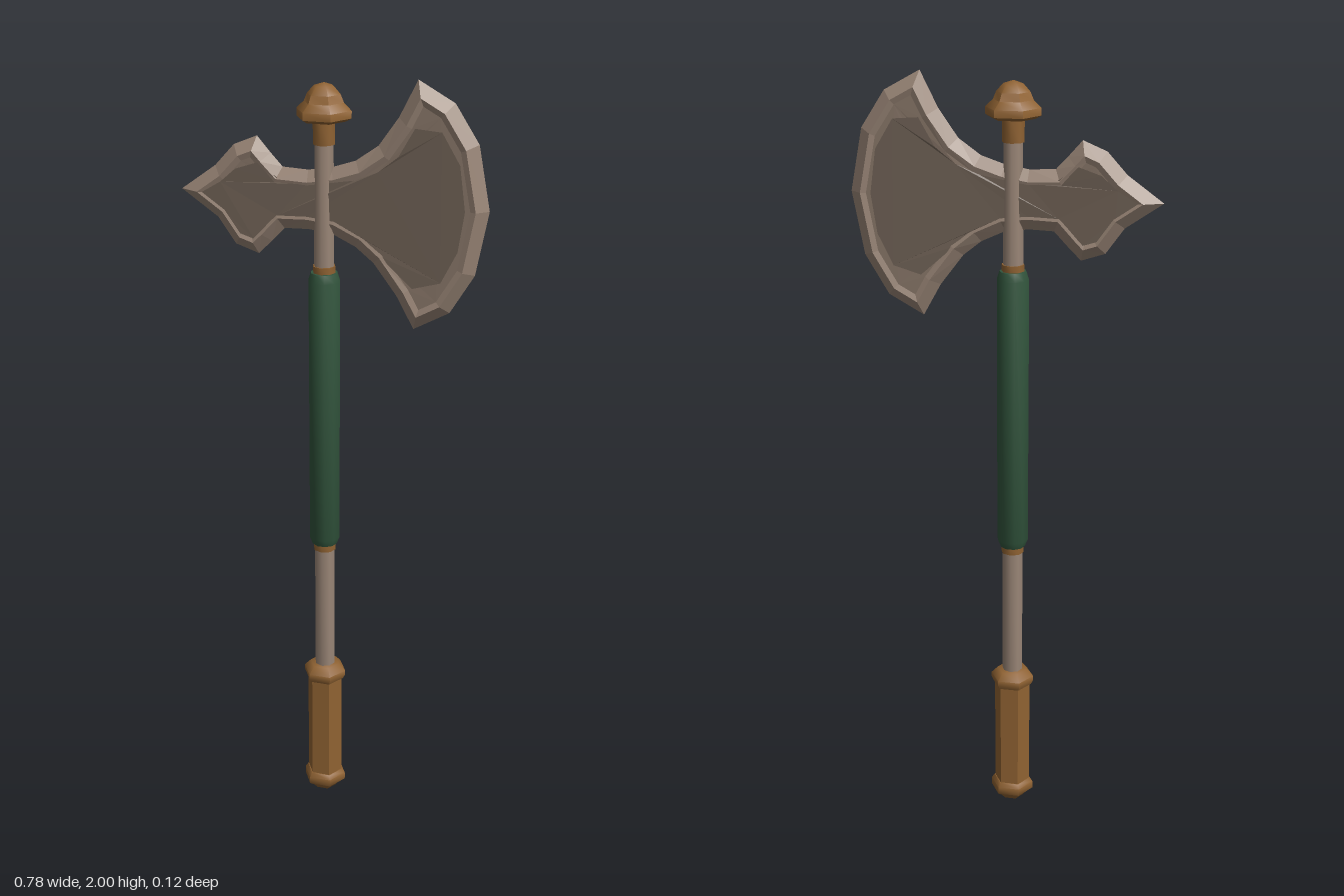
import * as THREE from 'three';
import { toCreasedNormals } from 'three/addons/utils/BufferGeometryUtils.js';

const SHAFT_X = -0.02;
const paint = (name, color) => Object.assign(new THREE.MeshStandardMaterial({ color }), { name });

// Head outline, counter-clockwise seen from the front
const OUTLINE = [
  [0.21, 1.39], [0.3, 1.44], [0.36, 1.54], [0.39, 1.7], [0.36, 1.857], [0.3, 1.95], [0.21, 2.0],
  [0.165, 1.91], [0.116, 1.84], [0.06, 1.8], [0, 1.78], [-0.06, 1.77], [-0.125, 1.773],
  [-0.155, 1.805], [-0.19, 1.845], [-0.25, 1.82], [-0.3, 1.765], [-0.39, 1.7],
  [-0.296, 1.635], [-0.25, 1.57], [-0.19, 1.55], [-0.155, 1.585], [-0.122, 1.62],
  [-0.06, 1.622], [0, 1.615], [0.06, 1.587], [0.106, 1.55], [0.165, 1.472],
];

// Darker area on each cheek
const CHEEK = [
  [0.21, 1.5], [0.28, 1.52], [0.32, 1.6], [0.335, 1.7], [0.32, 1.81], [0.275, 1.885], [0.21, 1.89],
  [0.17, 1.82], [0.12, 1.78], [0.06, 1.755], [0, 1.745], [-0.06, 1.738], [-0.12, 1.738],
  [-0.18, 1.785], [-0.24, 1.765], [-0.28, 1.73], [-0.33, 1.7],
  [-0.275, 1.66], [-0.235, 1.605], [-0.195, 1.592], [-0.135, 1.655],
  [-0.06, 1.657], [0.01, 1.65], [0.07, 1.62], [0.125, 1.575],
];

// Move every side of the outline inward by d
function inset(points, d) {
  const n = points.length;
  return points.map((p, i) => {
    const a = points[(i + n - 1) % n], b = points[(i + 1) % n];
    const u = new THREE.Vector2(a[1] - p[1], p[0] - a[0]).normalize();
    const v = new THREE.Vector2(p[1] - b[1], b[0] - p[0]).normalize();
    const k = d / Math.max(0.4, 1 + u.dot(v));
    return [p[0] + (u.x + v.x) * k, p[1] + (u.y + v.y) * k];
  });
}

// The head thins towards the shaft
const thin = (x) => 0.72 + 0.28 * THREE.MathUtils.smoothstep(Math.abs(x - SHAFT_X), 0.08, 0.2);
const lift = (points, z) => points.map(([x, y]) => new THREE.Vector3(x, y, z * thin(x)));

// Write triangles for the front and their mirror for the back
function twoSided(triangles) {
  const pos = [];
  for (const [a, b, c] of triangles) {
    for (const p of [a, b, c]) pos.push(p.x, p.y, p.z);
    for (const p of [a, c, b]) pos.push(p.x, p.y, -p.z);
  }
  const g = new THREE.BufferGeometry();
  g.setAttribute('position', new THREE.Float32BufferAttribute(pos, 3));
  g.computeVertexNormals();
  return g;
}

function band(outer, inner) {
  return outer.flatMap((a, i) => {
    const j = (i + 1) % outer.length;
    return [[a, outer[j], inner[j]], [a, inner[j], inner[i]]];
  });
}

function fill(ring) {
  const flat = ring.map((p) => new THREE.Vector2(p.x, p.y));
  return THREE.ShapeUtils.triangulateShape(flat, []).map((t) => t.map((i) => ring[i]));
}

export function createModel() {
  const model = new THREE.Group();
  model.name = 'battleAxe';
  const steel = paint('steel', 0x9a8677);
  const faceSteel = paint('faceSteel', 0x8a786a);
  const darkSteel = paint('darkSteel', 0x706256);
  const bronze = paint('bronze', 0x8f6232);
  const leather = paint('greenLeather', 0x31543c);

  const add = (name, geometry, material) => {
    const mesh = new THREE.Mesh(geometry, material);
    mesh.name = name;
    model.add(mesh);
    return mesh;
  };
  // Turned part from [radius, height] pairs, with a corner on the x axis
  const turned = (name, profile, sides, material) => {
    const pts = profile.map(([r, y]) => new THREE.Vector2(r, y));
    const g = new THREE.LatheGeometry(pts, sides, Math.PI / 2);
    add(name, toCreasedNormals(g, 0.9), material).position.x = SHAFT_X;
  };

  // Shaft and handle
  turned('shaft', [[0.027, 0.36], [0.027, 0.8], [0.026, 1.5], [0.024, 1.9]], 8, steel);
  turned('leatherWrap', [[0, 0.77], [0.033, 0.77], [0.041, 0.79], [0.041, 1.495], [0.034, 1.516], [0, 1.516]], 10, leather);
  turned('lowerCollar', [[0, 0.752], [0.03, 0.752], [0.03, 0.775], [0, 0.775]], 8, bronze);
  turned('upperCollar', [[0, 1.51], [0.029, 1.51], [0.029, 1.533], [0, 1.533]], 8, bronze);
  turned('topCollar', [[0, 1.835], [0.028, 1.835], [0.028, 1.895], [0, 1.895]], 8, bronze);
  turned('grip', [[0.048, 0.03], [0.048, 0.37]], 6, bronze);
  turned('gripRing', [[0, 0.358], [0.052, 0.358], [0.058, 0.37], [0.058, 0.383], [0.04, 0.402], [0, 0.405]], 6, bronze);
  turned('pommel', [[0, 0], [0.03, 0.002], [0.042, 0.016], [0.058, 0.028], [0.058, 0.048], [0.05, 0.06], [0, 0.06]], 6, bronze);
  turned('topCap', [[0, 1.892], [0.055, 1.892], [0.069, 1.9], [0.069, 1.918], [0.05, 1.936], [0.042, 1.955], [0.025, 1.974], [0, 1.982]], 6, bronze);

  // Axe head: sharp rim, raised ridge, sunken cheeks
  const rim = lift(OUTLINE, 0);
  const ridge = lift(inset(OUTLINE, 0.028), 0.025);
  const floor = lift(inset(OUTLINE, 0.042), 0.02);
  add('bladeBevel', twoSided([...band(rim, ridge), ...band(ridge, floor)]), steel);
  add('bladeFace', twoSided(fill(floor)), faceSteel);
  add('bladeCheek', twoSided(fill(lift(CHEEK, 0.0225))), darkSteel);

  return model;
}
